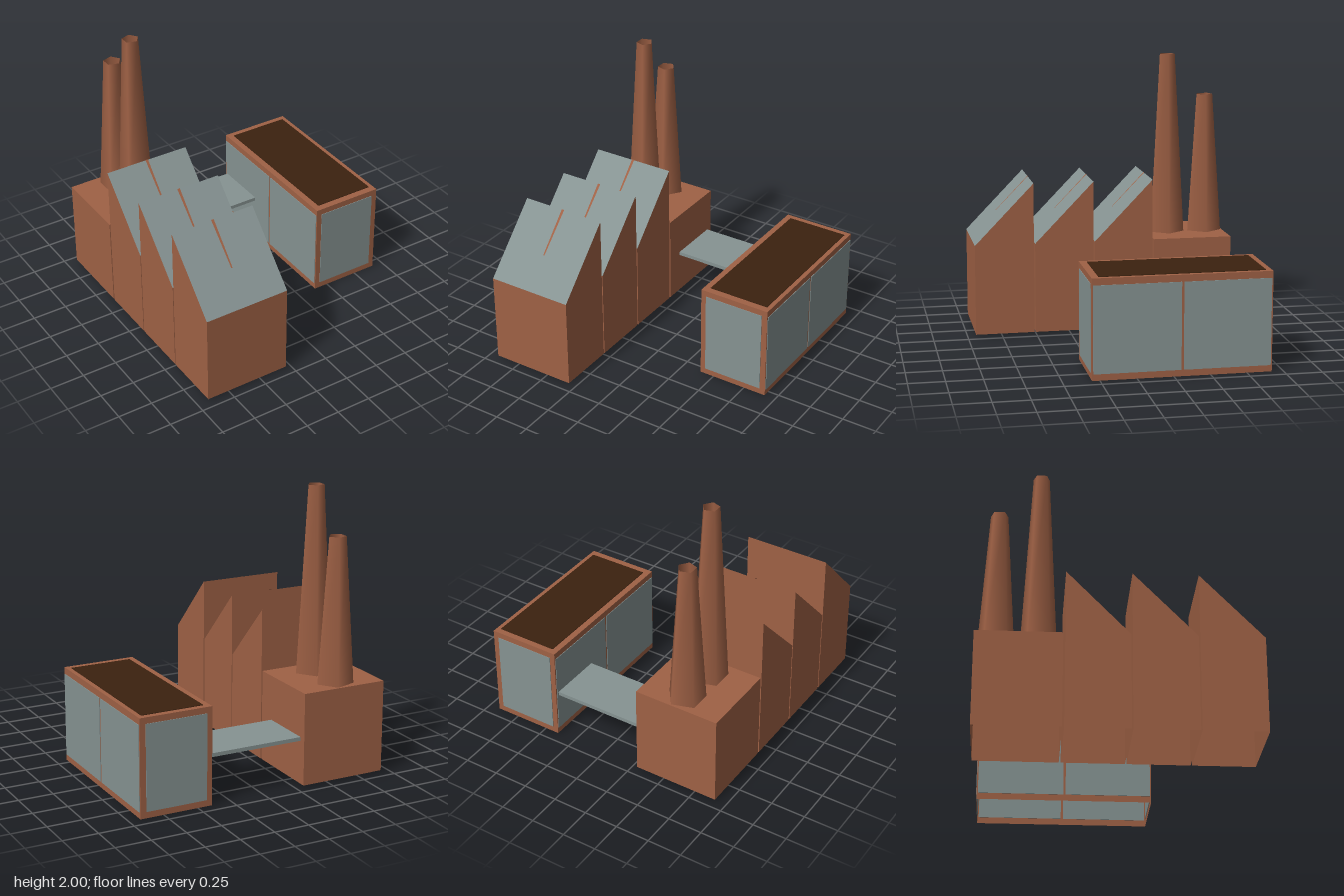
import * as THREE from 'three';

const mat = (name, color) => {
  const m = new THREE.MeshStandardMaterial({ color, side: THREE.DoubleSide });
  m.name = name;
  return m;
};

// Joins flat convex polygons (corners counter-clockwise from outside) into one mesh
function faces(name, polygons, material) {
  const pos = [];
  for (const p of polygons)
    for (let i = 1; i < p.length - 1; i++) pos.push(...p[0], ...p[i], ...p[i + 1]);
  const g = new THREE.BufferGeometry();
  g.setAttribute('position', new THREE.Float32BufferAttribute(pos, 3));
  g.computeVertexNormals();
  const mesh = new THREE.Mesh(g, material);
  mesh.name = name;
  return mesh;
}

// Box given by its limits on each axis
function box(name, x0, x1, y0, y1, z0, z1, material) {
  const mesh = new THREE.Mesh(new THREE.BoxGeometry(x1 - x0, y1 - y0, z1 - z0), material);
  mesh.position.set((x0 + x1) / 2, (y0 + y1) / 2, (z0 + z1) / 2);
  mesh.name = name;
  return mesh;
}

// Hollow hall, open underneath, whose roof may rise from front to back
function hall(name, x0, x1, y0, yFront, yBack, z0, z1, wallMat, roofMat) {
  const group = new THREE.Group();
  group.name = name;
  group.add(faces('walls', [
    [[x0, y0, z1], [x1, y0, z1], [x1, yFront, z1], [x0, yFront, z1]],
    [[x1, y0, z0], [x0, y0, z0], [x0, yBack, z0], [x1, yBack, z0]],
    [[x1, y0, z1], [x1, y0, z0], [x1, yBack, z0], [x1, yFront, z1]],
    [[x0, y0, z0], [x0, y0, z1], [x0, yFront, z1], [x0, yBack, z0]],
  ], wallMat));
  group.add(faces('roof', [
    [[x0, yFront, z1], [x1, yFront, z1], [x1, yBack, z0], [x0, yBack, z0]],
  ], roofMat));
  return group;
}

export function createModel() {
  const brick = mat('brick', 0x9f6145);
  const glass = mat('grey glass', 0x869392);
  const dark = mat('dark roof', 0x3b210f);
  const model = new THREE.Group();
  model.name = 'factory';

  // Saw-tooth sheds with a short glazing bar below each ridge
  const L = -0.922, R = -0.295, low = 0.675, high = 1.117;
  for (const [z0, z1] of [[0.515, 0.942], [0.078, 0.506], [-0.357, 0.069]]) {
    const shed = hall('sawtoothShed', L, R, 0.02, low, high, z0, z1, brick, glass);
    const slope = (high - low) / (z1 - z0), zEnd = z0 + 0.24, off = 0.003;
    const yEnd = high - slope * 0.24;
    shed.add(faces('glazingBar', [
      [[-0.615, yEnd + off, zEnd], [-0.605, yEnd + off, zEnd], [-0.6, high + off, z0], [-0.62, high + off, z0]],
    ], brick));
    model.add(shed);
  }

  // Boiler house with two five-sided open chimneys
  model.add(hall('boilerHouse', L, R, 0.02, low, low, -0.945, -0.37, brick, brick));
  for (const [z, top, r] of [[-0.525, 2, 0.059], [-0.808, 1.698, 0.063]]) {
    const chimney = new THREE.Mesh(
      new THREE.CylinderGeometry(r, 0.133, top - low, 5, 1, true, Math.PI / 2), brick);
    chimney.position.set(-0.607, (top + low) / 2, z);
    chimney.name = 'chimney';
    model.add(chimney);
  }

  // Connecting bridge
  model.add(box('bridge', R, 0.392, 0.328, 0.355, -0.897, -0.5, glass));

  // Glazed hall: brick frame with thin panels seen inside and out
  const x0 = 0.394, x1 = 0.918, z0 = -0.921, z1 = 0.303, top = 0.692, t = 0.004;
  const glazed = hall('glazedHall', x0, x1, 0, top, top, z0, z1, brick, brick);
  for (const z of [z0, z1])
    glazed.add(box('endWindow', 0.433, 0.876, 0.045, 0.648, z - t, z + t, glass));
  for (const x of [x0, x1])
    for (const [a, b] of [[-0.912, -0.315], [-0.299, 0.295]])
      glazed.add(box('sideWindow', x - t, x + t, 0.045, 0.645, a, b, glass));
  glazed.add(box('roofPanel', 0.439, 0.886, top - t, top + t, -0.878, 0.253, dark));
  model.add(glazed);

  return model;
}
